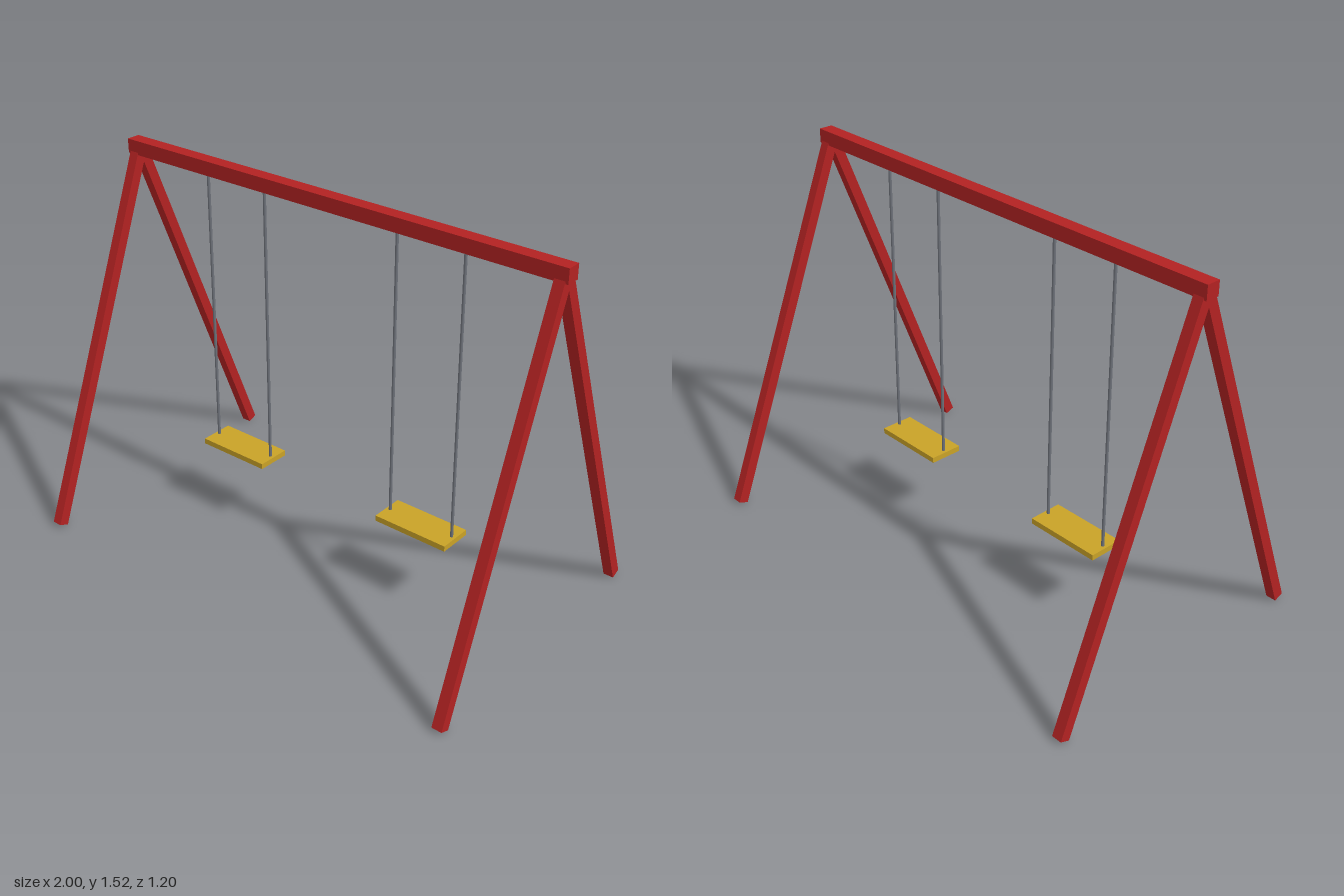
import * as THREE from 'three';

export function createModel() {
  const red = new THREE.MeshStandardMaterial({ color: 0xb22222 });
  red.name = 'red frame';
  const yellow = new THREE.MeshStandardMaterial({ color: 0xc9a227 });
  yellow.name = 'yellow seat';
  const grey = new THREE.MeshStandardMaterial({ color: 0x6f737b });
  grey.name = 'grey chain';

  const model = new THREE.Group();
  model.name = 'swingSet';

  function add(parent, name, geometry, material, x, y, z) {
    const mesh = new THREE.Mesh(geometry, material);
    mesh.name = name;
    mesh.position.set(x, y, z);
    parent.add(mesh);
    return mesh;
  }

  // Top beam
  add(model, 'topBeam', new THREE.BoxGeometry(2, 0.057, 0.057), red, 0, 1.494, 0);

  // Splayed legs, meeting under the beam at each end
  const footZ = 0.58, footY = 0.008, apexY = 1.49;
  const rise = apexY - footY;
  const legGeometry = new THREE.BoxGeometry(0.042, Math.hypot(footZ, rise), 0.042);
  for (const x of [-0.968, 0.968]) {
    for (const s of [-1, 1]) {
      const leg = add(model, s > 0 ? 'frontLeg' : 'backLeg', legGeometry, red,
        x, (apexY + footY) / 2, s * footZ / 2);
      leg.rotation.x = -s * Math.atan2(footZ, rise);
    }
  }

  // Two swings: a plank hung from two thin chains
  const seatTop = 0.319, chainTop = 1.475;
  const seatGeometry = new THREE.BoxGeometry(0.32, 0.023, 0.14);
  const chainGeometry = new THREE.CylinderGeometry(0.006, 0.006, chainTop - seatTop + 0.005, 8);
  for (const x of [-0.45, 0.45]) {
    const swing = new THREE.Group();
    swing.name = x > 0 ? 'leftSwing' : 'rightSwing';
    swing.position.x = x;
    add(swing, 'seat', seatGeometry, yellow, 0, seatTop - 0.0115, 0);
    for (const dx of [-0.143, 0.143]) {
      add(swing, 'chain', chainGeometry, grey, dx, (chainTop + seatTop - 0.005) / 2, 0);
    }
    model.add(swing);
  }

  return model;
}
